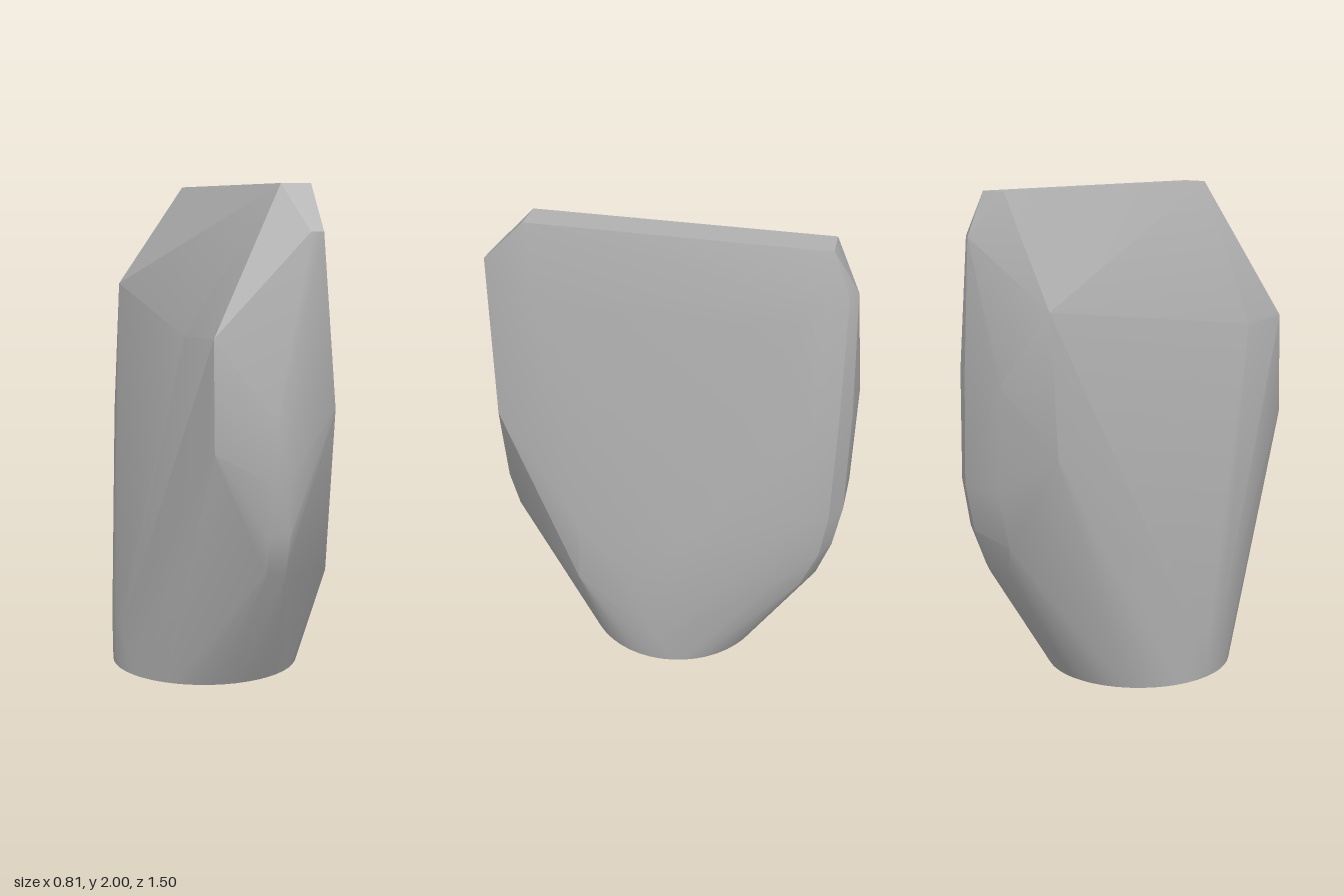
import * as THREE from 'three';
import { ConvexGeometry } from 'three/addons/geometries/ConvexGeometry.js';
import { toCreasedNormals } from 'three/addons/utils/BufferGeometryUtils.js';

export function createModel() {
  const model = new THREE.Group();
  const stone = new THREE.MeshStandardMaterial({ color: 0xb0b0b0 });
  const points = [];
  const add = (...list) => list.forEach(p => points.push(new THREE.Vector3(...p)));

  // Round foot
  for (let i = 0; i < 48; i++) {
    const a = i / 48 * Math.PI * 2;
    add([-0.015 + 0.392 * Math.cos(a), 0, 0.39 * Math.sin(a) - 0.01]);
  }

  // Narrow flat ridge along the top
  add([0.1, 2, 0.53], [0.22, 2, 0.54], [0.1, 2, -0.63], [0.22, 2, -0.63]);

  // Sloping shoulder and bulging right flank
  add([-0.22, 1.43, 0.67], [-0.25, 1.42, 0.42], [-0.19, 1.57, -0.67],
    [-0.41, 0.2, 0], [-0.405, 0.2, 0.08], [-0.405, 0.2, -0.08]);

  // Front facets
  add([0.2, 1.82, 0.71], [0.15, 1.82, 0.705], [-0.22, 1, 0.68], [0.27, 1.15, 0.68],
    [0, 1.12, 0.75], [0, 0.88, 0.75], [0.06, 0.9, 0.748],
    [-0.02, 0.68, 0.725], [0.07, 0.68, 0.725], [-0.01, 0.53, 0.685], [0.07, 0.53, 0.685]);

  // Back facets
  add([0, 1.28, -0.755], [-0.22, 1, -0.66], [0.04, 0.85, -0.745],
    [0.02, 0.62, -0.705], [0.08, 0.5, -0.66]);

  // Broad left face
  add([0.4, 0.13, 0], [0.402, 0.45, 0.1], [0.39, 0.72, 0.33], [0.39, 0.43, 0.34],
    [0.395, 0.7, -0.1], [0.28, 1.7, 0.5], [0.28, 1.7, -0.5]);

  // Rounded rear edge: y, then x and z of three points round the corner
  for (const [y, ...c] of [
    [1.83, 0.2, -0.73, 0.245, -0.7, 0.26, -0.62],
    [1.3, 0.22, -0.745, 0.3, -0.7, 0.325, -0.6],
    [0.85, 0.24, -0.74, 0.32, -0.69, 0.355, -0.57],
    [0.65, 0.23, -0.705, 0.31, -0.66, 0.355, -0.53],
    [0.47, 0.21, -0.645, 0.3, -0.59, 0.35, -0.47],
  ]) for (let i = 0; i < 6; i += 2) add([c[i], y, c[i + 1]]);

  const body = new THREE.Mesh(toCreasedNormals(new ConvexGeometry(points), 0.45), stone);
  body.name = 'facetedStone';
  model.add(body);
  return model;
}
